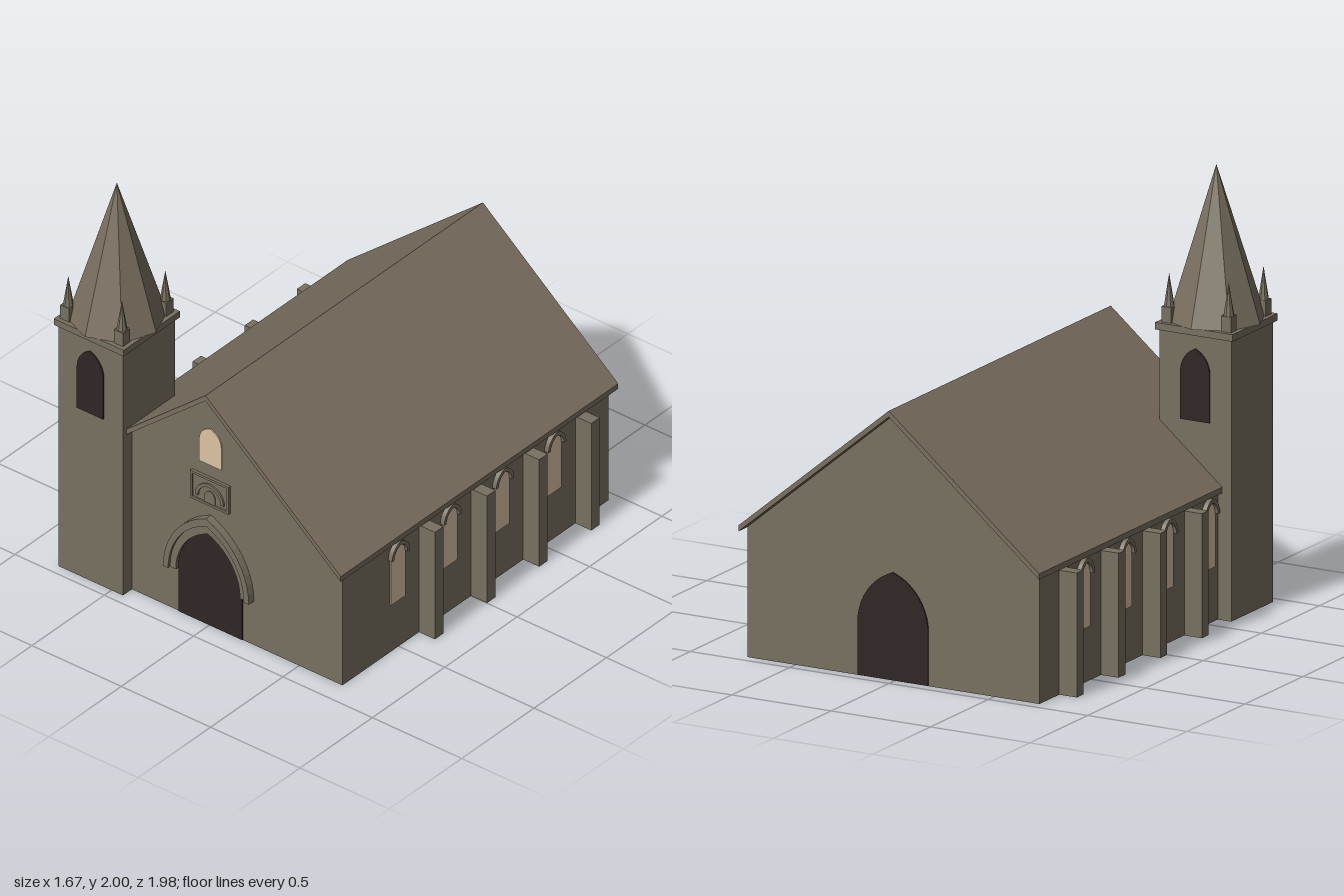
import * as THREE from 'three';

const CX = 0.007; // centre line of the nave

const material = (name, color) => {
  const m = new THREE.MeshStandardMaterial({ color });
  m.name = name;
  return m;
};

// Pointed arch outline points, from right foot over the apex to left foot
function archPoints(hw, spring, rise, foot = spring, n = 10) {
  const c = Math.max(0, (rise * rise - hw * hw) / (2 * hw));
  const r = hw + c;
  const end = Math.acos(c / r);
  const right = [];
  if (foot < spring) right.push([hw, foot]);
  for (let i = 0; i <= n; i++) {
    const a = (end * i) / n;
    right.push([r * Math.cos(a) - c, spring + r * Math.sin(a)]);
  }
  const left = right.slice(0, -1).reverse().map(([x, y]) => [-x, y]);
  return [...right, ...left].map(([x, y]) => new THREE.Vector2(x, y));
}

const extrude = (points, depth) =>
  new THREE.ExtrudeGeometry(new THREE.Shape(points), { depth, bevelEnabled: false });

// Filled arch plate and open arch band
const archPlate = (hw, foot, spring, rise) => extrude(archPoints(hw, spring, rise, foot), 0.006);
const archBand = (outer, inner, spring, riseOut, riseIn, depth) =>
  extrude([...archPoints(outer, spring, riseOut), ...archPoints(inner, spring, riseIn).reverse()], depth);

export function createModel() {
  const root = new THREE.Group();
  root.name = 'church';
  const stone = material('stone', 0x787060);
  const roofing = material('roofing', 0x796f5f);
  const glow = material('lit window', 0xdcc2a4);
  const dark = material('dark opening', 0x302525);

  const add = (name, geometry, mat, x = 0, y = 0, z = 0, ry = 0, parent = root) => {
    const mesh = new THREE.Mesh(geometry, mat);
    mesh.name = name;
    mesh.position.set(x, y, z);
    mesh.rotation.y = ry;
    parent.add(mesh);
    return mesh;
  };
  const box = (name, w, h, d, mat, x, y, z, parent = root) =>
    add(name, new THREE.BoxGeometry(w, h, d), mat, x, y + h / 2, z, 0, parent);
  const facetedCone = (r, h, sides) => {
    const g = new THREE.ConeGeometry(r, h, sides).toNonIndexed();
    g.computeVertexNormals();
    return g;
  };
  const v = (x, y) => new THREE.Vector2(x, y);

  // Nave walls with gables
  const FRONT = 0.888, BACK = -0.95, HALF = 0.735;
  add('nave', extrude([v(-HALF, 0), v(HALF, 0), v(HALF, 0.59), v(0, 1.2), v(-HALF, 0.59)], FRONT - BACK),
    stone, CX, 0, BACK);

  // Thin pitched roof overhanging on every side
  add('roof', extrude([v(-0.757, 0.575), v(0, 1.202), v(0.757, 0.575), v(0.757, 0.602), v(0, 1.23), v(-0.757, 0.602)], 1.917),
    roofing, CX, 0, -0.99);

  // Doors at both ends
  const door = archPlate(0.178, 0.002, 0.24, 0.25);
  add('frontDoor', door, dark, CX, 0, FRONT);
  add('backDoor', door, dark, CX, 0, BACK, Math.PI);

  // Stepped hood over the front door
  add('doorHoodOuter', archBand(0.24, 0.212, 0.23, 0.35, 0.31, 0.036), stone, CX, 0, FRONT);
  add('doorHoodInner', archBand(0.212, 0.18, 0.23, 0.31, 0.262, 0.022), stone, CX, 0, FRONT);

  // Gable window
  add('gableWindow', archPlate(0.062, 0.845, 0.96, 0.075), glow, CX, 0, FRONT);

  // Carved panel above the door
  const panel = new THREE.Group();
  panel.name = 'carvedPanel';
  panel.position.set(CX, 0.635, FRONT);
  root.add(panel);
  box('panelBack', 0.21, 0.145, 0.008, stone, 0, 0, 0.002, panel);
  for (const y of [0, 0.133]) box('panelRail', 0.215, 0.012, 0.02, stone, 0, y, 0.004, panel);
  for (const x of [-0.102, 0.102]) box('panelStile', 0.012, 0.145, 0.02, stone, x, 0, 0.004, panel);
  add('panelArch', archBand(0.08, 0.064, 0.03, 0.082, 0.066, 0.014), stone, 0, 0, 0, 0, panel);
  add('panelRelief', archPlate(0.03, 0.012, 0.04, 0.035), stone, 0, 0, 0.005, 0, panel);

  // Side windows with hoods, and buttresses between them
  const sideWindow = archPlate(0.049, 0.248, 0.49, 0.056);
  const sideHood = archBand(0.062, 0.046, 0.49, 0.08, 0.06, 0.022);
  for (const s of [-1, 1]) {
    for (let i = 0; i < 4; i++) {
      const z = 0.51 - 0.36 * i;
      const x = CX + s * HALF;
      add('sideWindow', sideWindow, glow, x, 0, z, (s * Math.PI) / 2);
      add('sideWindowHood', sideHood, stone, x, 0, z, (s * Math.PI) / 2);
      box('buttress', 0.1, 0.563, 0.058, stone, CX + s * 0.774, 0, z - 0.18);
    }
  }

  // Corner tower
  const tower = new THREE.Group();
  tower.name = 'tower';
  tower.position.set(-0.616, 0, 0.77);
  root.add(tower);
  box('towerShaft', 0.36, 1.275, 0.36, stone, 0, 0, 0, tower);
  box('towerCornice', 0.39, 0.032, 0.39, stone, 0, 1.272, 0, tower);
  const belfry = archPlate(0.074, 0.883, 1.1, 0.11);
  add('frontBelfryOpening', belfry, dark, 0, 0, 0.18, 0, tower);
  add('backBelfryOpening', belfry, dark, 0, 0, -0.18, Math.PI, tower);

  // Eight-sided spire
  add('spire', facetedCone(0.22, 0.695, 8), roofing, 0, 1.6525, 0, 0, tower);

  // Corner pinnacles
  const pinnacle = facetedCone(0.024, 0.15, 8);
  for (const x of [-0.15, 0.15]) {
    for (const z of [-0.15, 0.15]) {
      box('pinnacleBase', 0.05, 0.07, 0.05, stone, x, 1.304, z, tower);
      add('pinnacleTip', pinnacle, stone, x, 1.449, z, 0, tower);
    }
  }
  return root;
}
